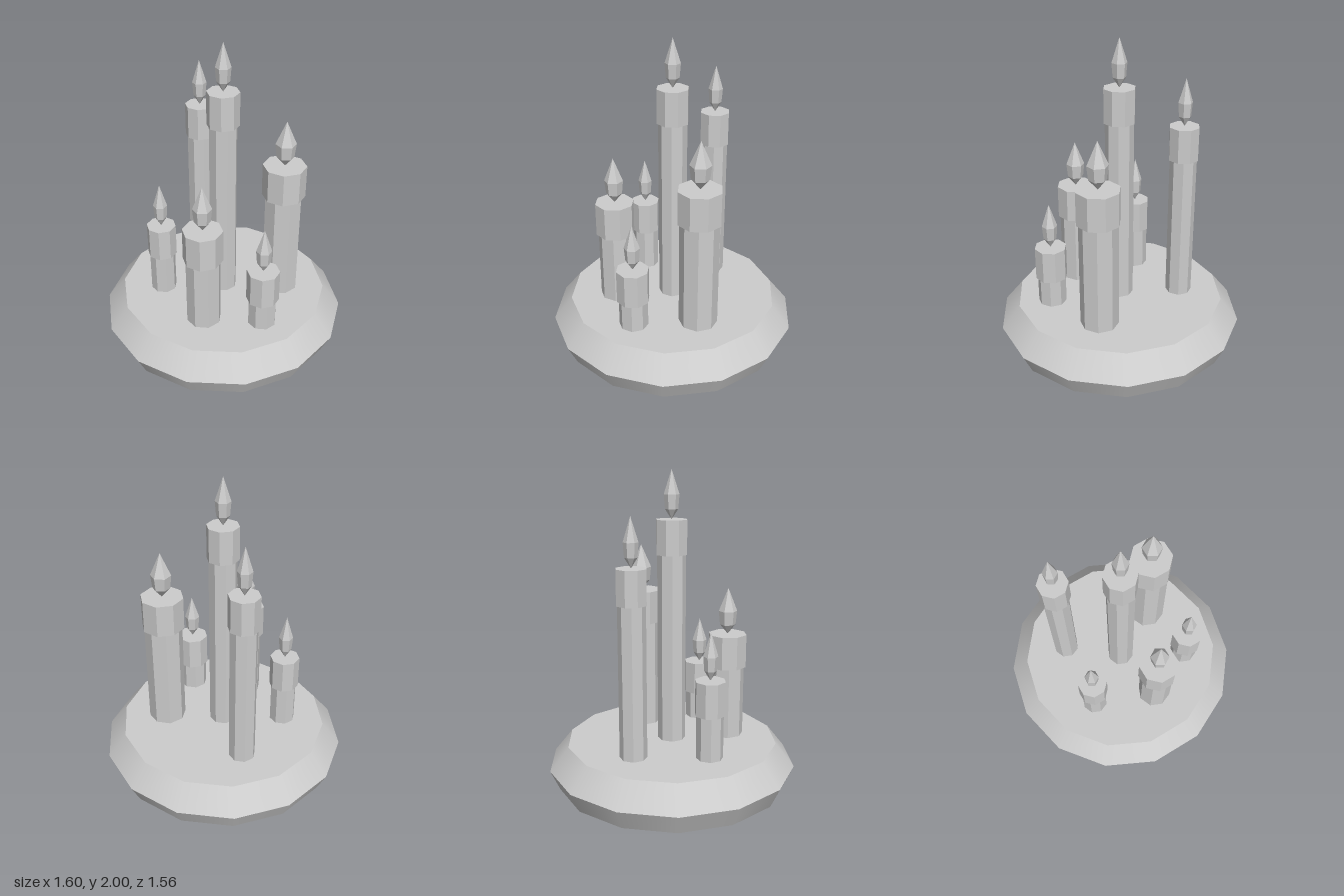
import * as THREE from 'three';

export function createModel() {
  const model = new THREE.Group();
  const wax = new THREE.MeshStandardMaterial({ color: 0xcccccc });
  wax.name = 'pale grey';
  wax.flatShading = false;

  const add = (parent, name, geometry, y = 0) => {
    const mesh = new THREE.Mesh(geometry, wax);
    mesh.name = name;
    mesh.position.y = y;
    parent.add(mesh);
    return mesh;
  };

  // Faceted geometry: unshared vertices give one normal per face
  const faceted = (geometry) => {
    const flat = geometry.toNonIndexed();
    flat.computeVertexNormals();
    return flat;
  };

  // Fourteen-sided dish, smooth around with a sharp rim
  const base = new THREE.Group();
  base.name = 'base';
  base.rotation.y = Math.PI / 2;
  add(base, 'baseUnderside', new THREE.CylinderGeometry(0.8, 0.74, 0.13, 14, 1, true), 0.065);
  add(base, 'baseSlope', new THREE.CylinderGeometry(0.68, 0.8, 0.15, 14, 1, true), 0.205);
  add(base, 'baseTop', new THREE.CircleGeometry(0.68, 14).rotateX(-Math.PI / 2).rotateY(Math.PI / 2), 0.28);
  add(base, 'baseBottom', new THREE.CircleGeometry(0.74, 14).rotateX(Math.PI / 2).rotateY(Math.PI / 2), 0);
  model.add(base);

  // Candles: x, z, top height, collar radius
  const candles = [
    [0, 0, 1.7, 0.101],
    [-0.31, -0.25, 1.45, 0.096],
    [0.335, -0.185, 1.205, 0.138],
    [0.06, 0.365, 0.96, 0.125],
    [-0.34, 0.215, 0.775, 0.095],
    [0.4, 0.215, 0.68, 0.103],
  ];
  const floor = 0.28, collarHeight = 0.215;

  for (const [x, z, top, r] of candles) {
    const candle = new THREE.Group();
    candle.name = 'candle';
    candle.position.set(x, 0, z);

    // Octagonal shaft and a wider collar turned by half a side
    const shaftTop = top - collarHeight / 2;
    add(candle, 'candleShaft',
      faceted(new THREE.CylinderGeometry(r * 0.885, r * 0.885, shaftTop - floor, 8)),
      (shaftTop + floor) / 2);
    add(candle, 'candleCollar',
      faceted(new THREE.CylinderGeometry(r, r, collarHeight, 8).rotateY(Math.PI / 8)),
      top - collarHeight / 2);

    // Six-sided flame
    const f = r * 0.475;
    const profile = [[0, 0], [f * 0.85, 0.062], [f, 0.15], [0, 0.3]]
      .map(([px, py]) => new THREE.Vector2(px, py));
    add(candle, 'flame', faceted(new THREE.LatheGeometry(profile, 6)), top);
    model.add(candle);
  }
  return model;
}
